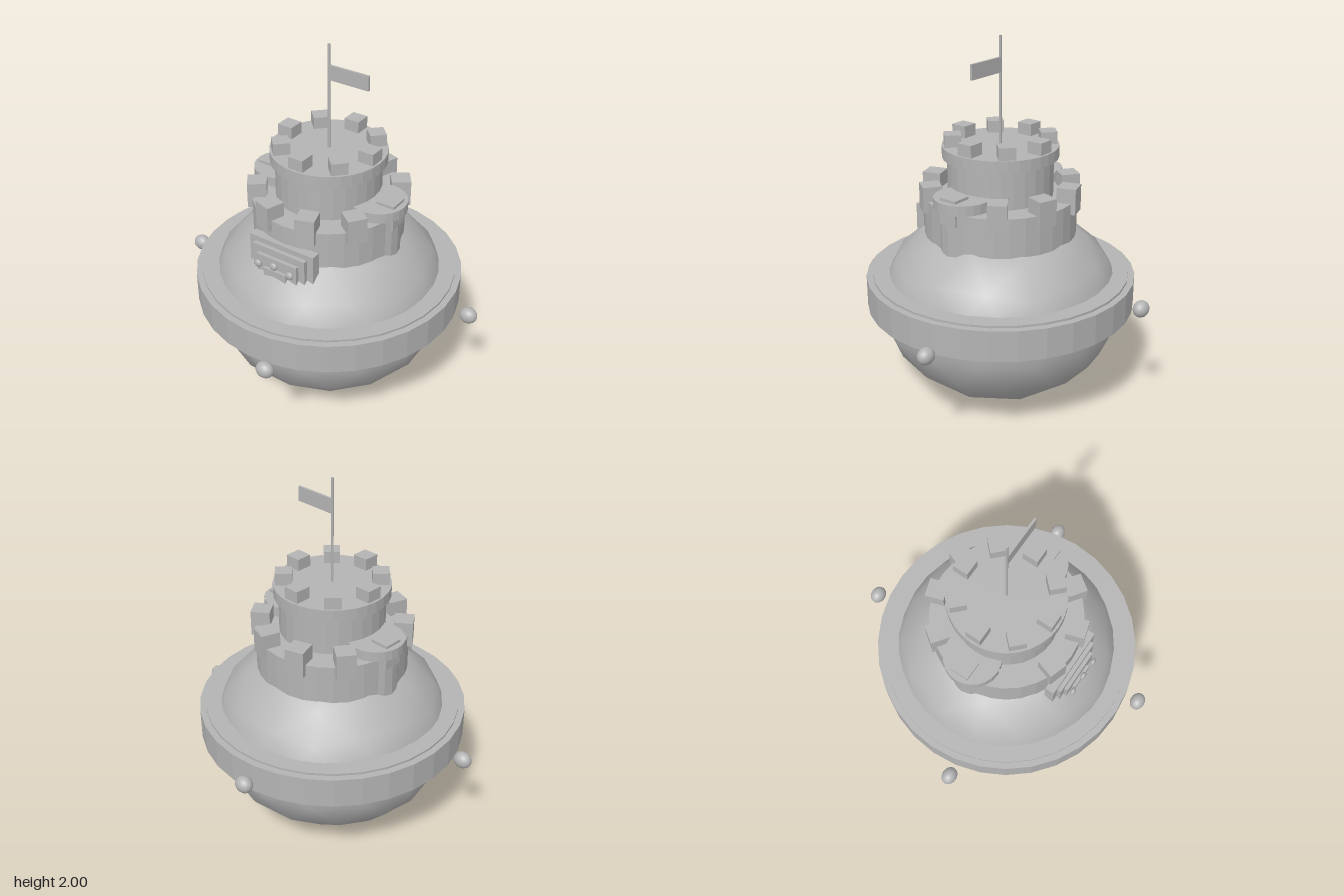
import * as THREE from 'three';

const stone = new THREE.MeshStandardMaterial({ color: 0xb4b4b4 });
stone.name = 'grey stone';

export function createModel() {
  const model = new THREE.Group();
  model.name = 'floatingFortress';

  const add = (name, geometry, x = 0, y = 0, z = 0, parent = model) => {
    const mesh = new THREE.Mesh(geometry, stone);
    mesh.name = name;
    mesh.position.set(x, y, z);
    parent.add(mesh);
    return mesh;
  };
  // Faceted drum between two heights
  const drum = (name, radius, y0, y1, sides, x = 0) => {
    const g = new THREE.CylinderGeometry(radius, radius, y1 - y0, sides).toNonIndexed();
    g.computeVertexNormals();
    return add(name, g, x, (y0 + y1) / 2, 0);
  };
  // Box given by its width, height range and depth range
  const slab = (name, w, y0, y1, z0, z1, x = 0) =>
    add(name, new THREE.BoxGeometry(w, y1 - y0, z1 - z0), x, (y0 + y1) / 2, (z0 + z1) / 2);
  // Ring of merlons turned to face outwards
  const merlons = (name, count, radius, size, y0, y1) => {
    const ring = new THREE.Group();
    ring.name = name;
    for (let i = 0; i < count; i++) {
      const a = (i / count) * Math.PI * 2;
      add('merlon', new THREE.BoxGeometry(size, y1 - y0, size),
        Math.cos(a) * radius, (y0 + y1) / 2, Math.sin(a) * radius, ring).rotation.y = -a;
    }
    model.add(ring);
  };

  // Smooth, coarsely divided rock body with a vertex at each pole
  const body = new THREE.IcosahedronGeometry(1, 2);
  body.rotateZ(Math.PI / 2 - Math.atan2((1 + Math.sqrt(5)) / 2, 1));
  body.rotateY(0.3);
  body.scale(0.665, 0.535, 0.665);
  add('body', body, 0, 0.54, 0);

  // Belt around the body
  drum('belt', 0.735, 0.54, 0.708, 32);
  drum('beltStep', 0.7, 0.7, 0.72, 32);

  // Lower tower with a turret on each side
  drum('lowerTower', 0.41, 0.85, 1.16, 32);
  merlons('lowerMerlons', 10, 0.38, 0.103, 1.1, 1.24);
  for (const side of [-1, 1]) {
    drum('turret', 0.122, 0.85, 1.18, 16, side * 0.31);
    drum('turretCap', 0.153, 1.17, 1.225, 24, side * 0.31);
  }

  // Upper tower
  drum('upperTower', 0.283, 1.15, 1.38, 28);
  drum('upperCap', 0.31, 1.368, 1.43, 32);
  merlons('upperMerlons', 8, 0.252, 0.088, 1.42, 1.495);

  // Flag and pole
  drum('flagPole', 0.007, 1.42, 2, 8);
  slab('flag', 0.235, 1.81, 1.89, -0.006, 0.006, 0.118);

  // Stepped gate on the front, with a sill and three knobs
  slab('gateFrame', 0.4, 0.88, 1.055, 0.38, 0.432);
  slab('gateMiddle', 0.325, 0.88, 1.025, 0.42, 0.455);
  slab('gateInner', 0.25, 0.88, 0.985, 0.44, 0.475);
  slab('gateSill', 0.14, 0.88, 0.925, 0.46, 0.492);
  for (const i of [-1, 0, 1]) {
    add('knob', new THREE.SphereGeometry(0.022, 16, 12), i * 0.1, i ? 0.943 : 0.96, 0.497)
      .scale.z = 0.6;
  }

  // Four small orbs floating around the belt
  const orbs = [[-0.165, 0.645, -0.8], [0.797, 0.572, -0.165], [-0.8, 0.61, 0.16], [0.16, 0.572, 0.797]];
  for (const [x, y, z] of orbs) {
    add('orb', new THREE.SphereGeometry(1, 20, 14), x, y, z).scale.set(0.05, 0.045, 0.041);
  }

  return model;
}
